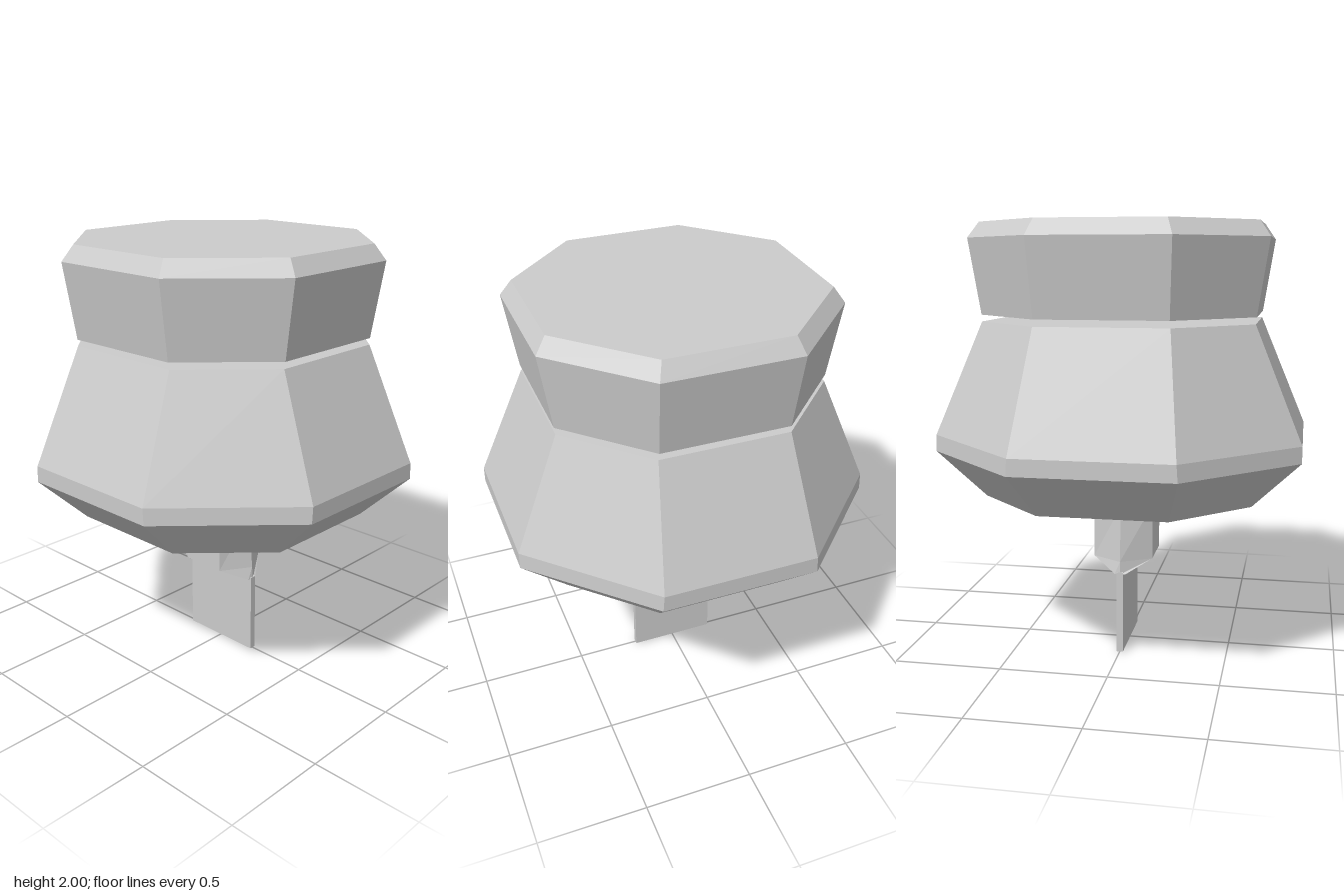
import * as THREE from 'three';

const material = new THREE.MeshStandardMaterial({ color: 0xcccccc, flatShading: true });

// Octagon ring: flats at distance a on the axes, h is half a flat's length.
const octagon = (y, a, h) => [
  [a, h], [a, -h], [h, -a], [-h, -a], [-a, -h], [-a, h], [-h, a], [h, a],
].map(([x, z]) => [x, y, z]);

// Hexagon ring: side points at x = w, front and back flats at z = d.
const hexagon = (y, w, f, d) => [
  [w, 0], [f, -d], [-f, -d], [-w, 0], [-f, d], [f, d],
].map(([x, z]) => [x, y, z]);

// Closed faceted solid through rings ordered from bottom to top.
function loft(name, rings) {
  const n = rings[0].length;
  const index = [];
  const last = (rings.length - 1) * n;
  for (let r = 0; r < rings.length - 1; r++) {
    for (let i = 0; i < n; i++) {
      const a = r * n + i;
      const b = r * n + (i + 1) % n;
      index.push(a, b, b + n, a, b + n, a + n);
    }
  }
  for (let i = 1; i < n - 1; i++) {
    index.push(0, i + 1, i, last, last + i, last + i + 1);
  }
  const indexed = new THREE.BufferGeometry();
  indexed.setAttribute('position', new THREE.Float32BufferAttribute(rings.flat(2), 3));
  indexed.setIndex(index);
  const geometry = indexed.toNonIndexed();
  geometry.computeVertexNormals();
  const mesh = new THREE.Mesh(geometry, material);
  mesh.name = name;
  return mesh;
}

export function createModel() {
  const group = new THREE.Group();
  group.name = 'stubbyScrewdriver';

  // Flat blade
  const blade = new THREE.Mesh(new THREE.BoxGeometry(0.405, 0.39, 0.03), material);
  blade.name = 'blade';
  blade.position.y = 0.195;
  group.add(blade);

  // Bevelled collar between blade and handle
  group.add(loft('collar', [
    hexagon(0.38, 0.2, 0.195, 0.025),
    hexagon(0.44, 0.195, 0.11, 0.14),
    hexagon(0.70, 0.172, 0.11, 0.14),
    hexagon(0.756, 0.125, 0.105, 0.075),
  ]));

  // Wide handle grip
  group.add(loft('handleGrip', [
    octagon(0.755, 0.61, 0.285),
    octagon(0.97, 0.825, 0.35),
    octagon(1.045, 0.825, 0.345),
    octagon(1.56, 0.612, 0.288),
  ]));

  // Separate end cap above the thin gap
  group.add(loft('handleCap', [
    octagon(1.59, 0.615, 0.285),
    octagon(1.93, 0.668, 0.3),
    octagon(2, 0.62, 0.275),
  ]));

  return group;
}
